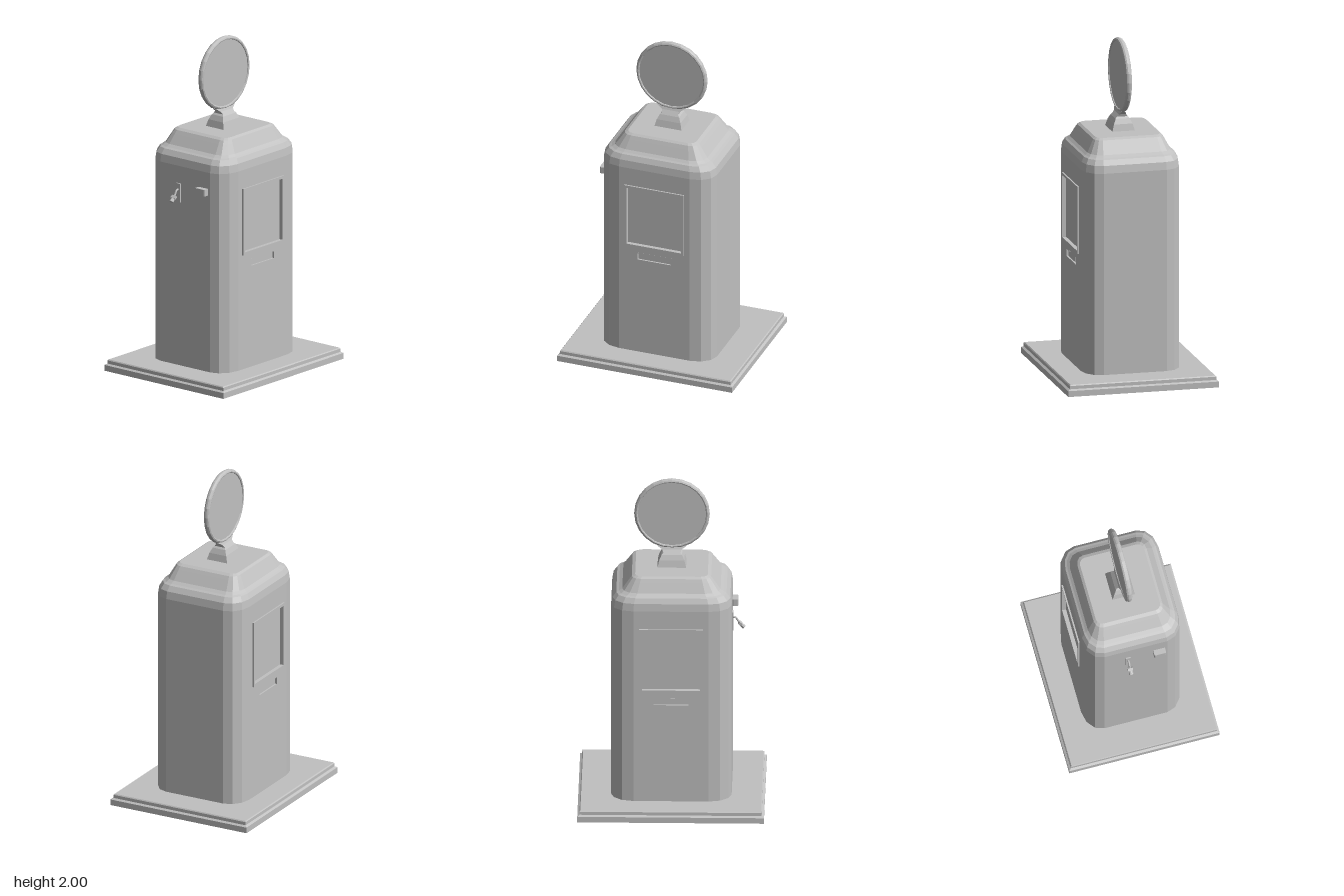
import * as THREE from 'three';

const grey = new THREE.MeshStandardMaterial({ color: 0xc0c0c0 });
grey.name = 'plain grey';

// Faceted mesh with a name
function add(parent, name, geo, x = 0, y = 0, z = 0) {
  const flat = geo.index ? geo.toNonIndexed() : geo;
  flat.computeVertexNormals();
  const mesh = new THREE.Mesh(flat, grey);
  mesh.name = name;
  mesh.position.set(x, y, z);
  parent.add(mesh);
  return mesh;
}

// Rectangle outline with rounded corners (segs = 0 gives square corners)
function ring(y, hx, hz, rx = 0, rz = 0, segs = 0) {
  const pts = [];
  [[1, 1], [-1, 1], [-1, -1], [1, -1]].forEach(([sx, sz], k) => {
    for (let i = 0; i <= segs; i++) {
      const a = (k + (segs ? i / segs : 0)) * Math.PI / 2;
      pts.push(new THREE.Vector3(
        sx * (hx - rx) + rx * Math.cos(a), y, sz * (hz - rz) + rz * Math.sin(a)));
    }
  });
  return pts;
}

// Closed skin through stacked rings; skip(j, i) leaves a quad open
function loft(rings, skip = () => false) {
  const v = [], n = rings[0].length, top = rings.length - 1;
  const tri = (...p) => p.forEach(q => v.push(q.x, q.y, q.z));
  const c0 = new THREE.Vector3(0, rings[0][0].y, 0);
  const c1 = new THREE.Vector3(0, rings[top][0].y, 0);
  for (let i = 0; i < n; i++) {
    const k = (i + 1) % n;
    for (let j = 0; j < top; j++) {
      if (skip(j, i)) continue;
      const a = rings[j], b = rings[j + 1];
      tri(a[i], b[i], a[k]);
      tri(a[k], b[i], b[k]);
    }
    tri(c0, rings[0][i], rings[0][k]);
    tri(c1, rings[top][k], rings[top][i]);
  }
  const geo = new THREE.BufferGeometry();
  geo.setAttribute('position', new THREE.Float32BufferAttribute(v, 3));
  return geo;
}

// Rectangular outline and frame helpers
function rect(hx, y0, y1, Type = THREE.Shape) {
  return new Type([[-hx, y0], [hx, y0], [hx, y1], [-hx, y1]].map(p => new THREE.Vector2(...p)));
}
function frame(hx, y0, y1, t, depth) {
  const s = rect(hx, y0, y1);
  s.holes.push(rect(hx - t, y0 + t, y1 - t, THREE.Path));
  return new THREE.ExtrudeGeometry(s, { depth, bevelEnabled: false });
}

export function createModel() {
  const model = new THREE.Group();
  model.name = 'fuelPump';

  // Stepped plinth
  add(model, 'plinth', loft([
    ring(0, 0.545, 0.455), ring(0.035, 0.545, 0.455), ring(0.043, 0.532, 0.442),
    ring(0.062, 0.532, 0.442), ring(0.068, 0.527, 0.437)]));

  // Cabinet and domed lid: [height, inset]
  const profile = [[0.065, 0], [1.28, 0], [1.325, 0.008], [1.355, 0.03], [1.362, 0.045],
    [1.375, 0.065], [1.43, 0.105], [1.45, 0.12], [1.46, 0.14]];
  const shell = profile.map(([y, d]) =>
    ring(y, 0.352 - d, 0.295 - d * 0.72, 0.132 - d * 0.65, 0.105 - d * 0.5, 3));
  add(model, 'cabinet', loft(shell, (j, i) => j === 0 && (i === 3 || i === 11)));

  // Front and back panels with recessed window and slot
  for (const [side, turn] of [['front', 0], ['back', Math.PI]]) {
    const face = new THREE.Group();
    face.name = side + 'Face';
    face.rotation.y = turn;
    const wall = rect(0.22, 0.065, 1.28);
    wall.holes.push(rect(0.18, 0.77, 1.16, THREE.Path), rect(0.104, 0.681, 0.724, THREE.Path));
    add(face, 'wallPanel', new THREE.ShapeGeometry(wall), 0, 0, 0.295);
    add(face, 'windowFrame', frame(0.186, 0.763, 1.167, 0.016, 0.034), 0, 0, 0.27);
    add(face, 'windowPane', new THREE.BoxGeometry(0.35, 0.38, 0.008), 0, 0.965, 0.276);
    add(face, 'slotRim', frame(0.107, 0.678, 0.727, 0.004, 0.016), 0, 0, 0.2795);
    add(face, 'slotBack', new THREE.BoxGeometry(0.206, 0.045, 0.006), 0, 0.7025, 0.282);
    model.add(face);
  }

  // Pinched neck holding the round sign
  add(model, 'signNeck', loft([
    ring(1.455, 0.085, 0.069), ring(1.5, 0.074, 0.056), ring(1.53, 0.06, 0.042),
    ring(1.54, 0.05, 0.034), ring(1.555, 0.055, 0.022), ring(1.575, 0.085, 0.012)]));

  // Round sign with a raised rim
  const half = [[0, 0.011], [0.2, 0.011], [0.202, 0.016], [0.208, 0.018], [0.216, 0.014], [0.221, 0.005]];
  const outline = [...half.map(([r, z]) => [r, -z]), ...half.slice().reverse()]
    .map(p => new THREE.Vector2(...p));
  add(model, 'roundSign', new THREE.LatheGeometry(outline, 24).rotateX(Math.PI / 2), 0, 1.779, 0);

  // Crank on the right-hand side
  const crank = new THREE.Group();
  crank.name = 'crank';
  crank.position.z = -0.047;
  add(crank, 'crankPlate', new THREE.BoxGeometry(0.012, 0.115, 0.03), -0.354, 1.118, 0);
  const arm = new THREE.CatmullRomCurve3([[-0.352, 1.14], [-0.372, 1.138], [-0.388, 1.115], [-0.403, 1.092]]
    .map(([x, y]) => new THREE.Vector3(x, y, 0)));
  add(crank, 'crankArm', new THREE.TubeGeometry(arm, 8, 0.006, 6));
  add(crank, 'crankCollar', new THREE.BoxGeometry(0.02, 0.016, 0.03), -0.4, 1.1, 0).rotation.z = 0.7;
  add(crank, 'crankKnob', new THREE.CylinderGeometry(0.01, 0.014, 0.03, 8), -0.411, 1.087, 0).rotation.z = -0.8;
  model.add(crank);

  // Small block beside the crank
  add(model, 'sideBlock', loft([
    ring(-0.02, 0.018, 0.036, 0.006, 0.006, 2), ring(0.02, 0.018, 0.036, 0.006, 0.006, 2)]),
    -0.368, 1.162, 0.14);

  return model;
}
